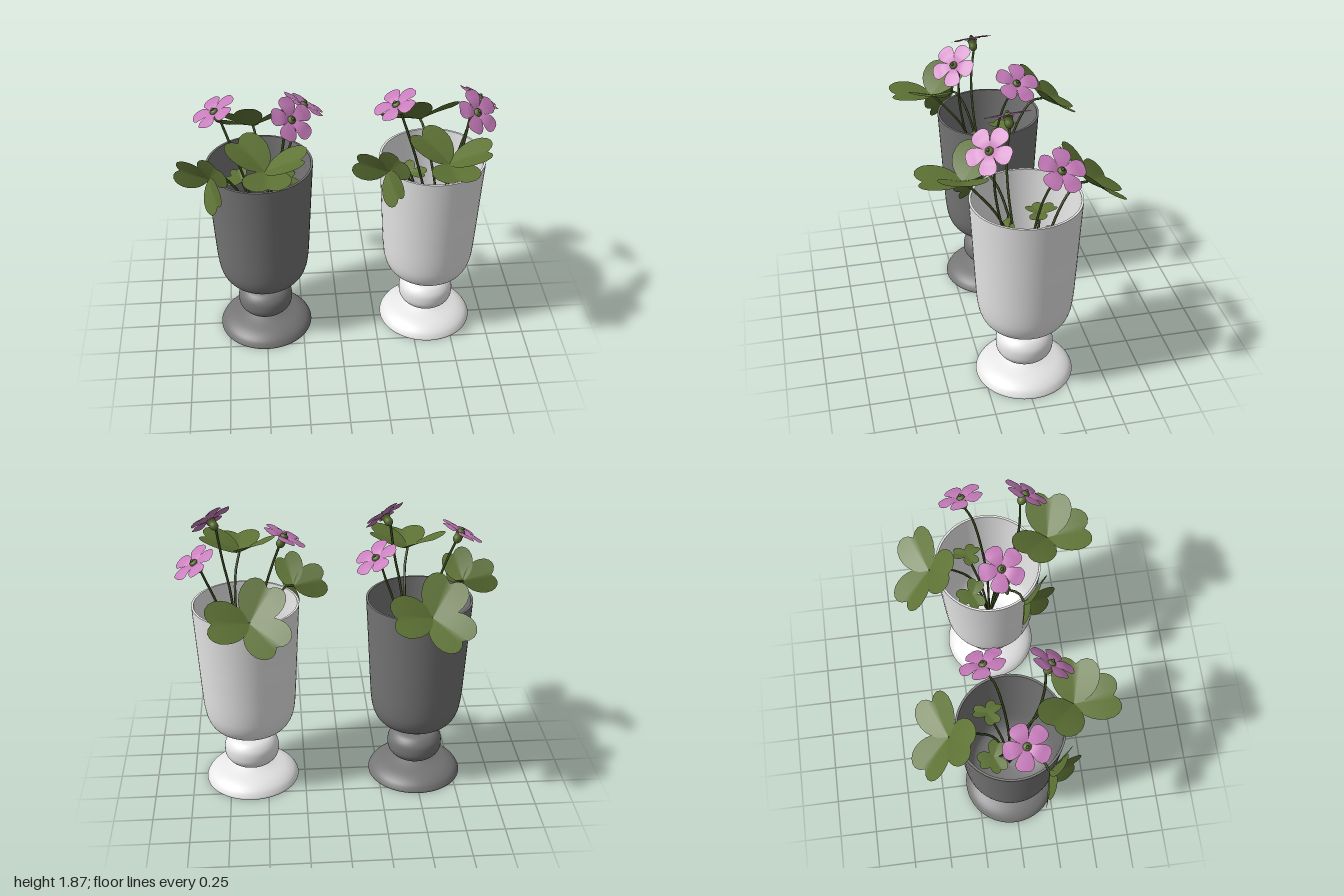
import * as THREE from 'three';

const V = (a) => new THREE.Vector3(...a);
const mat = (name, color, side = THREE.FrontSide) => {
  const m = new THREE.MeshStandardMaterial({ color, side });
  m.name = name;
  return m;
};
const darkCup = mat('dark grey glaze', 0x757575);
const whiteCup = mat('white glaze', 0xe8e8e8);
const leafGreen = mat('leaf green', 0x5e7335, THREE.DoubleSide);
const stemGreen = mat('stem green', 0x3c4a22);
const calyxGreen = mat('calyx green', 0x586c30);
const petalPink = mat('petal pink', 0xc87cbc, THREE.DoubleSide);

function add(parent, name, geo, material) {
  const m = new THREE.Mesh(geo, material);
  m.name = name;
  parent.add(m);
  return m;
}

// Smooth lathe through a few [radius, height] points
function turned(points, steps = 32) {
  const curve = new THREE.SplineCurve(points.map((p) => new THREE.Vector2(...p)));
  const pts = curve.getPoints(steps);
  pts.forEach((p) => { p.x = Math.max(p.x, 0); });
  return new THREE.LatheGeometry(pts, 56);
}

// Fan-shaped blade in the xz plane pointing to +z: outline is [angle in degrees, radius]
function blade(outline, lift) {
  const geo = new THREE.PlaneGeometry(2, 1, 24, 6);
  const pos = geo.attributes.position;
  const maxAngle = outline[outline.length - 1][0];
  const curve = new THREE.SplineCurve(outline.map((p) => new THREE.Vector2(...p)));
  const samples = curve.getPoints(60);
  const radius = (deg) => {
    const i = Math.max(1, samples.findIndex((s) => s.x >= deg - 1e-6));
    const a = samples[i - 1], b = samples[i];
    return a.y + (b.y - a.y) * Math.min(1, (deg - a.x) / (b.x - a.x));
  };
  for (let i = 0; i < pos.count; i++) {
    const deg = pos.getX(i) * maxAngle;
    const r = (pos.getY(i) + 0.5) * radius(Math.abs(deg));
    const x = r * Math.sin(deg * Math.PI / 180), z = r * Math.cos(deg * Math.PI / 180);
    pos.setXYZ(i, x, lift(x, z), z);
  }
  // Reverse the winding so that the front side is +y
  const idx = geo.index.array;
  for (let i = 0; i < idx.length; i += 3) [idx[i], idx[i + 1]] = [idx[i + 1], idx[i]];
  geo.computeVertexNormals();
  if (geo.attributes.normal.getY(80) < 0) {
    for (let i = 0; i < idx.length; i += 3) [idx[i], idx[i + 1]] = [idx[i + 1], idx[i]];
    geo.computeVertexNormals();
  }
  return geo;
}

// Heart-shaped leaflet of unit length, creased along its middle
const leafletGeo = blade(
  [[0, 0.84], [8, 0.95], [18, 1], [30, 0.93], [42, 0.75], [56, 0.48], [70, 0.2], [80, 0.04]],
  (x, z) => 0.16 * Math.abs(x) - 0.1 * z * z + 0.1 * z);
// Rounded petal that flares out of the throat
const petalGeo = blade(
  [[0, 0.143], [10, 0.144], [20, 0.136], [29, 0.115], [35, 0.075], [38, 0.035]],
  (x, z) => 0.022 * Math.sin(Math.min(1, z / 0.11) * 2.2) - 1.2 * x * x);

function stem(parent, points, radius) {
  const curve = new THREE.CatmullRomCurve3(points.map(V));
  add(parent, 'stem', new THREE.TubeGeometry(curve, 20, radius, 6), stemGreen);
}

function flower(parent, { at, normal, path, spin }) {
  const g = new THREE.Group();
  g.name = 'flower';
  const n = V(normal).normalize();
  g.position.copy(V(at));
  g.quaternion.setFromUnitVectors(new THREE.Vector3(0, 1, 0), n);
  for (let i = 0; i < 5; i++) {
    add(g, 'petal', petalGeo, petalPink).rotation.y = Math.PI + spin + i * Math.PI * 0.4;
  }
  // Throat and calyx
  add(g, 'throat', new THREE.SphereGeometry(0.026, 12, 8).scale(1, 0.7, 1), calyxGreen).position.y = 0.012;
  add(g, 'pistil', new THREE.SphereGeometry(0.011, 8, 6), stemGreen).position.y = 0.03;
  add(g, 'calyx', turned([[0, -0.07], [0.018, -0.06], [0.028, -0.04], [0.026, -0.015], [0.034, 0.006]], 10), calyxGreen);
  parent.add(g);
  const neck = V(at).addScaledVector(n, -0.06).toArray();
  stem(parent, [...path, neck], 0.008);
}

// Three leaflets, each aimed from the centre at its own tip
function clover(parent, { at, normal, tips, size, path }) {
  const g = new THREE.Group();
  g.name = 'cloverLeaf';
  g.position.copy(V(at));
  for (const tip of tips) {
    const z = V(tip).sub(V(at)).normalize();
    const x = V(normal).cross(z).normalize();
    const y = z.clone().cross(x);
    const m = add(g, 'leaflet', leafletGeo, leafGreen);
    m.quaternion.setFromRotationMatrix(new THREE.Matrix4().makeBasis(x, y, z));
    m.scale.setScalar(size);
  }
  parent.add(g);
  stem(parent, [...path, at], 0.008);
}

const root = [-0.48, 0.42, -0.02];
const flowers = [
  { at: [-0.75, 1.71, 0.035], normal: [-0.45, 0.87, 0.08], spin: 0.1, path: [root, [-0.52, 0.9, 0.03], [-0.61, 1.3, 0.065], [-0.67, 1.5, 0.06]] },
  { at: [-0.21, 1.63, -0.145], normal: [0.5, 0.8, -0.2], spin: 0.2, path: [root, [-0.41, 0.9, -0.02], [-0.33, 1.3, -0.055], [-0.27, 1.48, -0.09]] },
  { at: [-0.3, 1.755, 0.235], normal: [0.48, 0.66, 0.5], spin: 0.5, path: [root, [-0.44, 0.9, 0.08], [-0.4, 1.3, 0.17], [-0.36, 1.5, 0.2]] },
];
const leaves = [
  // Back leaf, leaning over the rim
  { at: [-0.53, 1.345, -0.4], normal: [0, 0.78, -0.63], size: 0.285,
    tips: [[-0.71, 1.25, -0.58], [-0.31, 1.38, -0.47], [-0.66, 1.53, -0.26]],
    path: [root, [-0.45, 0.95, -0.12], [-0.5, 1.25, -0.25], [-0.52, 1.34, -0.33]] },
  // Front leaf, open like a funnel
  { at: [-0.465, 1.485, 0.36], normal: [0, 1, 0], size: 0.285,
    tips: [[-0.45, 1.52, 0.64], [-0.18, 1.61, 0.41], [-0.64, 1.61, 0.19]],
    path: [root, [-0.45, 0.95, 0.06], [-0.43, 1.25, 0.17], [-0.44, 1.4, 0.28]] },
  // Side leaf, upright beside the rim
  { at: [-0.81, 1.32, 0.17], normal: [-0.5, -0.1, 0.8], size: 0.225,
    tips: [[-1.0, 1.38, 0.13], [-0.74, 1.5, 0.3], [-0.76, 1.23, 0.32]],
    path: [root, [-0.56, 0.95, 0.03], [-0.69, 1.25, 0.1], [-0.76, 1.33, 0.15]] },
  // Small young leaves inside the cup
  { at: [-0.62, 1.1, -0.14], normal: [-0.1, 1, 0.1], size: 0.11,
    tips: [[-0.65, 1.12, -0.24], [-0.72, 1.1, -0.1], [-0.53, 1.11, -0.1]],
    path: [root, [-0.52, 0.75, -0.07]] },
  { at: [-0.335, 1.1, -0.14], normal: [0.3, 0.9, 0], size: 0.1,
    tips: [[-0.31, 1.1, -0.24], [-0.27, 1.08, -0.08], [-0.43, 1.13, -0.1]],
    path: [root, [-0.41, 0.75, -0.06]] },
  { at: [-0.55, 1.08, 0.07], normal: [0, 0.55, 0.8], size: 0.09,
    tips: [[-0.65, 1.08, 0.07], [-0.55, 1.0, 0.12], [-0.46, 1.08, 0.07]],
    path: [root, [-0.51, 0.75, 0.03]] },
];

function pottedPlant(name, material, x) {
  const g = new THREE.Group();
  g.name = name;
  g.position.set(x, 0, -0.02);
  // Foot, knob and bowl
  add(g, 'footUnderside', new THREE.CircleGeometry(0.31, 56).rotateX(Math.PI / 2), material);
  add(g, 'foot', turned([[0.31, 0], [0.309, 0.014], [0.285, 0.048], [0.235, 0.078], [0.15, 0.105], [0.09, 0.128]]), material);
  add(g, 'knob', turned([[0.088, 0.123], [0.14, 0.14], [0.174, 0.18], [0.182, 0.227], [0.174, 0.275], [0.14, 0.315], [0.085, 0.332]]), material);
  add(g, 'bowlOutside', turned([[0.085, 0.328], [0.11, 0.348], [0.19, 0.39], [0.25, 0.435], [0.284, 0.5], [0.301, 0.6], [0.313, 0.8], [0.325, 1.03], [0.34, 1.3]], 48), material);
  add(g, 'bowlInside', turned([[0.326, 1.3], [0.311, 1.03], [0.299, 0.8], [0.287, 0.61], [0.268, 0.51], [0.23, 0.45], [0.14, 0.41], [0, 0.395]], 40), material);
  add(g, 'rim', new THREE.RingGeometry(0.326, 0.34, 56).rotateX(-Math.PI / 2), material).position.y = 1.3;
  // Flowers and leaves
  const plant = new THREE.Group();
  plant.name = 'plant';
  plant.position.set(0.5, 0, 0.02);
  flowers.forEach((f) => flower(plant, f));
  leaves.forEach((l) => clover(plant, l));
  g.add(plant);
  return g;
}

export function createModel() {
  const model = new THREE.Group();
  model.name = 'pottedFlowers';
  model.add(pottedPlant('darkGoblet', darkCup, -0.5), pottedPlant('whiteGoblet', whiteCup, 0.605));
  return model;
}
